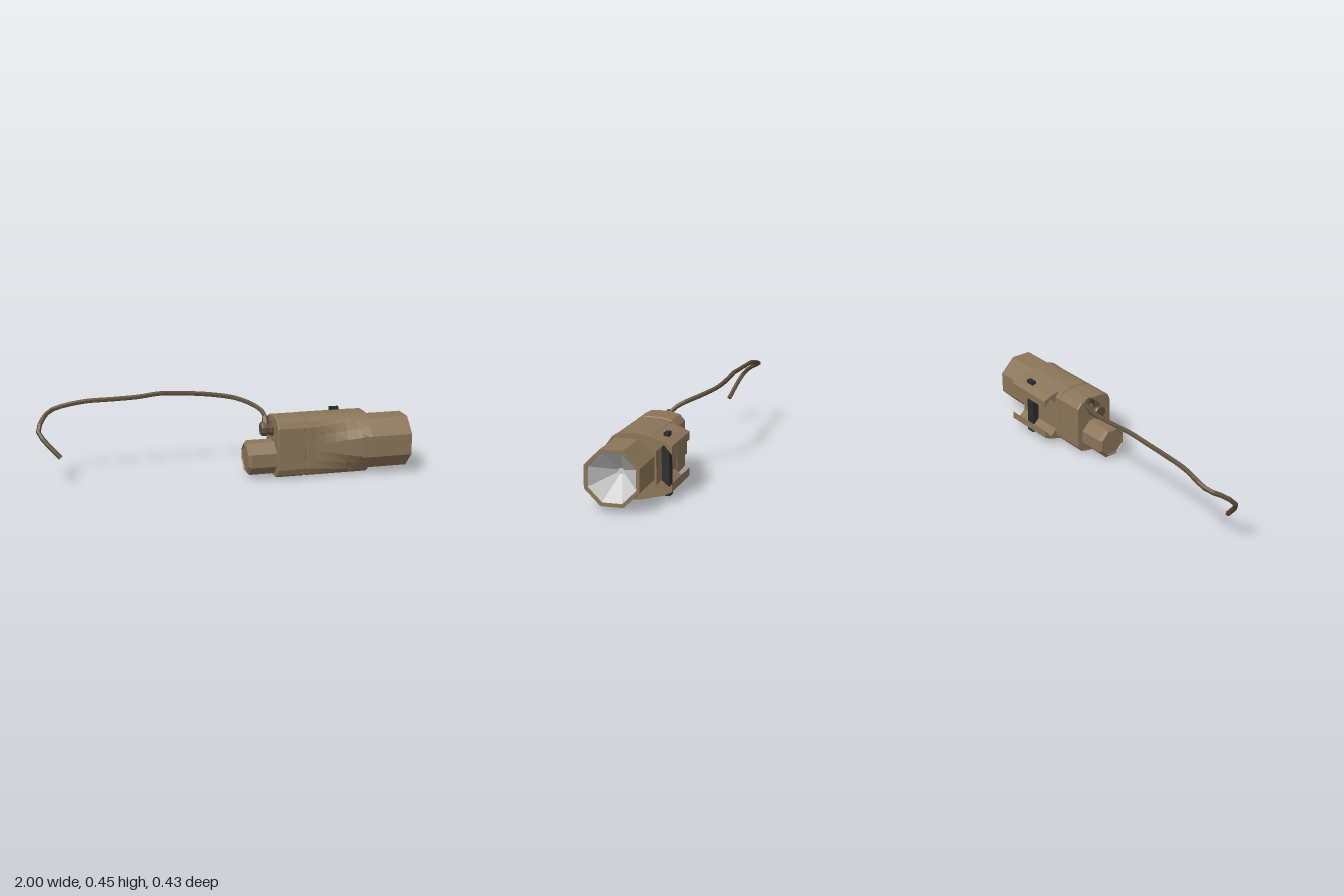
import * as THREE from 'three';

const mat = (color, side = THREE.FrontSide) =>
  new THREE.MeshStandardMaterial({ color, side, flatShading: true });
const tan = mat(0x8a7558), brown = mat(0x5e503c), black = mat(0x2c2c2c);
const silver = mat(0xcccccc);
const MID = 0.17; // height of the lamp axis

function add(parent, name, geometry, material, x = 0, y = 0, z = 0) {
  const mesh = new THREE.Mesh(geometry, material);
  mesh.name = name;
  mesh.position.set(x, y, z);
  parent.add(mesh);
  return mesh;
}

// Eight-sided turned shape along +x from [radius, x] pairs
function octagonal(profile) {
  const pts = profile.map(([r, x]) => new THREE.Vector2(r, x));
  return new THREE.LatheGeometry(pts, 8, Math.PI / 8).rotateZ(-Math.PI / 2);
}

// Housing cross-section [z, y]; bulge 0..1 swells its front towards the lamp head
function housingRing(bulge, inset) {
  const mix = (a, b) => a + (b - a) * bulge;
  const half = [
    [mix(0.15, 0.21), mix(0.015, 0.058)],
    [mix(0.15, 0.178), mix(0.07, 0.1)],
    [mix(0.15, 0.145), mix(0.115, 0.145)],
    [mix(0.138, 0.13), mix(0.145, 0.153)],
    [0.107, 0.163], [0.065, 0.167], [0, 0.164], [-0.05, 0.152], [-0.078, 0.12],
  ];
  const lower = half.map(([z, y]) => [z, -y]).reverse();
  return [...half, ...lower].map(([z, y]) =>
    [0.04 + (z - 0.04) * (1 - inset), MID + y * (1 - inset)]);
}

// Skin between rings along x, closed by a fan at each end
function loft(stations) {
  const pos = [], idx = [];
  const n = stations[0].ring.length;
  for (const { x, ring } of stations) for (const [z, y] of ring) pos.push(x, y, z);
  const last = stations.length - 1;
  pos.push(stations[0].x, MID, 0.04, stations[last].x, MID, 0.04);
  const c0 = n * (last + 1), c1 = c0 + 1;
  for (let j = 0; j < n; j++) {
    const k = (j + 1) % n;
    for (let i = 0; i < last; i++) {
      const a = i * n + j, b = i * n + k;
      idx.push(a, a + n, b, b, a + n, b + n);
    }
    idx.push(c0, j, k, c1, last * n + k, last * n + j);
  }
  const g = new THREE.BufferGeometry();
  g.setAttribute('position', new THREE.Float32BufferAttribute(pos, 3));
  g.setIndex(idx);
  g.computeVertexNormals();
  return g;
}

export function createModel() {
  const model = new THREE.Group();
  model.name = 'weaponLight';

  // Housing with a seam groove and a front swelling into the head: [x, bulge, inset]
  const stations = [
    [0.26, 0, 0.03], [0.266, 0, 0], [0.412, 0, 0], [0.414, 0, 0.03],
    [0.424, 0, 0.03], [0.426, 0, 0], [0.47, 0, 0], [0.52, 0.17, 0],
    [0.58, 0.4, 0], [0.64, 0.63, 0], [0.7, 0.83, 0], [0.77, 1, 0],
  ].map(([x, bulge, inset]) => ({ x, ring: housingRing(bulge, inset) }));
  add(model, 'housing', loft(stations), tan);

  // Lamp head and its reflector
  add(model, 'lampHead', octagonal([[0.15, 0.72], [0.15, 1], [0.132, 1], [0.13, 0.99]]),
    tan, 0, MID, 0.07);
  add(model, 'reflector', octagonal([[0.131, 0.995], [0.016, 0.86], [0, 0.86]]),
    silver, 0, MID, 0.07);

  // Rail jaws, mirrored top and bottom: [z, height from axis]
  const jaw = [[0, 0.162], [-0.115, 0.135], [-0.157, 0.114], [-0.156, 0.073],
    [-0.117, 0.118], [-0.078, 0.085], [0, 0.08]];
  for (const side of [1, -1]) {
    const shape = new THREE.Shape(jaw.map(([z, y]) => new THREE.Vector2(-z, side * y)));
    const g = new THREE.ExtrudeGeometry(shape, { depth: 0.31, bevelEnabled: false });
    g.rotateY(Math.PI / 2); // shape x becomes -z, depth becomes +x
    add(model, side > 0 ? 'upperRailJaw' : 'lowerRailJaw', g, tan, 0.46, MID, 0);
  }

  // Cross bolt through the jaws
  const bolt = add(model, 'crossBolt', new THREE.BoxGeometry(0.05, 0.32, 0.025),
    black, 0.655, 0.166, -0.104);
  bolt.rotation.x = 0.02;
  add(model, 'recoilBar', new THREE.BoxGeometry(0.05, 0.19, 0.04), black, 0.655, MID, -0.095);

  // Tail cap
  add(model, 'tailCap',
    octagonal([[0, 0.112], [0.075, 0.112], [0.078, 0.105], [0.095, 0.12], [0.095, 0.27]]),
    tan, 0, 0.11, 0.042);

  // Cable socket
  add(model, 'cableSocket',
    octagonal([[0, 0.195], [0.034, 0.195], [0.04, 0.203], [0.04, 0.225], [0.032, 0.23],
      [0.032, 0.24], [0.04, 0.245], [0.04, 0.265]]), brown, 0, 0.262, 0.03);
  add(model, 'cableCollar', new THREE.CylinderGeometry(0.018, 0.022, 0.05, 6),
    brown, 0.225, 0.305, 0.022).rotation.x = -0.4;

  // Trailing cable
  const path = [
    [0.225, 0.28, 0.03], [0.226, 0.33, 0.005], [0.205, 0.36, -0.035], [0.11, 0.398, -0.13],
    [-0.01, 0.415, -0.178], [-0.18, 0.43, -0.195], [-0.32, 0.437, -0.192],
    [-0.43, 0.427, -0.186], [-0.58, 0.422, -0.188], [-0.74, 0.416, -0.195],
    [-0.905, 0.378, -0.2], [-0.965, 0.336, -0.13], [-0.986, 0.29, -0.085],
    [-0.95, 0.238, -0.058], [-0.88, 0.16, -0.027],
  ].map((p) => new THREE.Vector3(...p));
  const curve = new THREE.CatmullRomCurve3(path, false, 'centripetal');
  add(model, 'cable', new THREE.TubeGeometry(curve, 36, 0.013, 6), brown);
  const tip = add(model, 'cableTip', new THREE.CircleGeometry(0.013, 6),
    mat(0x5e503c, THREE.DoubleSide), -0.88, 0.16, -0.027);
  tip.lookAt(tip.position.clone().add(curve.getTangent(1)));

  return model;
}
